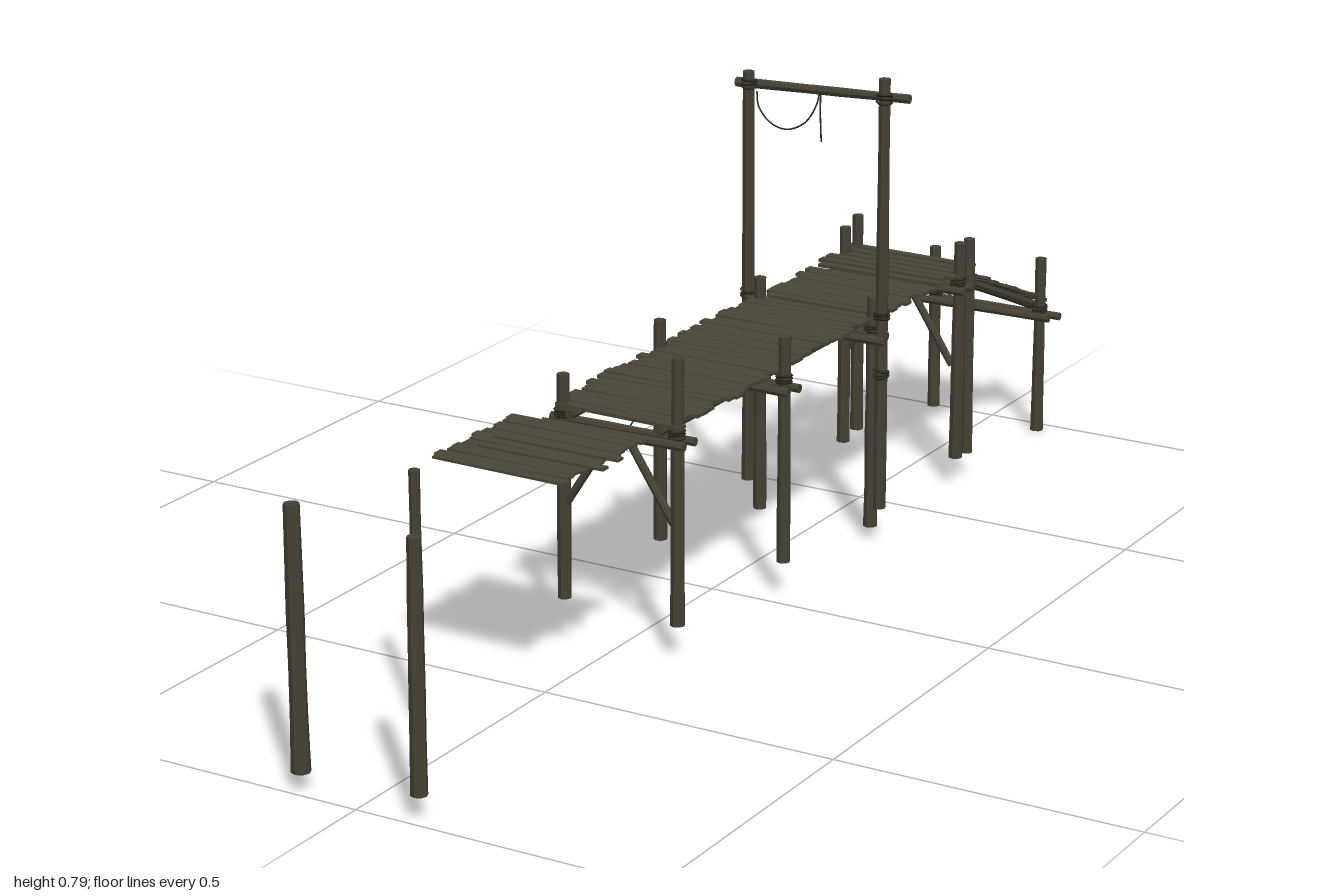
import * as THREE from 'three';

const wood = (name, color) => {
  const m = new THREE.MeshStandardMaterial({ color, flatShading: true });
  m.name = name;
  return m;
};

export function createModel() {
  const plankWood = wood('plankWood', 0x4a4538);
  const postWood = wood('postWood', 0x464134);
  const ropeFibre = wood('ropeFibre', 0x2c281e);
  const model = new THREE.Group();
  model.name = 'brokenPier';
  const V = (x, y, z) => new THREE.Vector3(x, y, z);

  let seed = 7;
  const rnd = () => {
    seed = (seed * 16807) % 2147483647;
    return seed / 2147483647;
  };
  const jit = (a) => (rnd() - 0.5) * 2 * a;

  const add = (name, geo, mat) => {
    const m = new THREE.Mesh(geo, mat);
    m.name = name;
    model.add(m);
    return m;
  };

  // Rough round log between two points, slightly uneven along its length
  const log = (name, a, b, r0, r1 = r0) => {
    const len = a.distanceTo(b);
    const rows = 5;
    const g = new THREE.CylinderGeometry(r1, r0, len, 8, rows);
    const p = g.attributes.position;
    const scale = Array.from({ length: rows + 1 }, () => 1 + jit(0.07));
    for (let i = 0; i < p.count; i++) {
      const s = scale[Math.round((p.getY(i) / len + 0.5) * rows)];
      p.setX(i, p.getX(i) * s);
      p.setZ(i, p.getZ(i) * s);
    }
    g.computeVertexNormals();
    const m = add(name, g, postWood);
    m.position.copy(a).add(b).multiplyScalar(0.5);
    m.quaternion.setFromUnitVectors(V(0, 1, 0), b.clone().sub(a).normalize());
    return m;
  };

  const post = (x, z, y0, y1, r = 0.011) =>
    log('post', V(x, y0, z), V(x + jit(0.002), y1, z), r * 1.05, r * 0.92);

  // Rope wound around a post
  const lashing = (x, y, z, r = 0.0125) => {
    for (let i = 0; i < 3; i++) {
      const t = add('lashing', new THREE.TorusGeometry(r, 0.0022, 4, 10), ropeFibre);
      t.rotation.set(Math.PI / 2 + jit(0.2), jit(0.15), 0);
      t.position.set(x, y + (i - 1) * 0.005, z);
    }
  };

  const rope = (name, pts, r = 0.0014) =>
    add(name, new THREE.TubeGeometry(new THREE.CatmullRomCurve3(pts), 24, r, 5), ropeFibre);

  // Pair of cross logs clamping the posts of one support frame
  const crossBeams = (z, y, half = 0.13) => {
    for (const s of [-1, 1]) {
      log('crossBeam', V(-half + jit(0.008), y + jit(0.003), z + s * 0.015),
        V(half + jit(0.008), y + jit(0.003), z + s * 0.015), 0.0075);
    }
  };

  // Diagonal braces forming an inverted V under the deck
  const braces = (z) => {
    for (const s of [-1, 1]) log('brace', V(s * 0.015, 0.345, z), V(s * 0.1, 0.215, z), 0.0065);
  };

  // Free-standing front posts
  post(-0.105, 0.985, 0.03, 0.44, 0.0135);
  post(0.1, 0.985, 0.04, 0.43, 0.012);
  post(-0.1, 0.69, 0.04, 0.4, 0.009);

  // Support frames: z, [left bottom, left top], [right bottom, right top], x, beam height
  const frames = [
    [0.28, 0.06, 0.43, 0.055, 0.49, 0.103, 0.352],
    [-0.03, 0.055, 0.43, 0.06, 0.44, 0.115, 0.354],
    [-0.34, 0.012, 0.42, 0.02, 0.42, 0.106, 0.352],
    [-0.64, 0.04, 0.43, 0.05, 0.435, 0.11, 0.352],
    [-0.685, 0.05, 0.44, 0.045, 0.43, 0.108, 0],
    [-0.97, 0.01, 0.31, 0, 0.32, 0.104, 0.213],
  ];
  for (const [z, l0, l1, r0, r1, x, beam] of frames) {
    post(-x, z, l0, l1);
    post(x, z, r0, r1);
    if (!beam) continue;
    crossBeams(z, beam);
    lashing(-x, beam + 0.015, z);
    lashing(x, beam + 0.015, z);
  }
  braces(0.28);
  braces(-0.64);

  // Tall gateway with its top pole
  post(-0.129, -0.34, 0.06, 0.77, 0.0105);
  post(0.123, -0.34, 0.055, 0.79, 0.0105);
  log('gatePole', V(-0.162, 0.744, -0.357), V(0.16, 0.757, -0.357), 0.0085, 0.0075);
  for (const [x, y] of [[-0.129, 0.75], [0.123, 0.757], [-0.129, 0.39], [0.123, 0.39], [-0.129, 0.29], [0.123, 0.29]]) {
    lashing(x, y, -0.34);
  }
  rope('gateRope', [V(-0.12, 0.735, -0.35), V(-0.118, 0.71, -0.352), V(-0.1, 0.684, -0.357),
    V(-0.07, 0.675, -0.358), V(-0.035, 0.69, -0.358), V(-0.015, 0.72, -0.36), V(-0.008, 0.752, -0.364)]);
  rope('gateRopeEnd', [V(-0.009, 0.752, -0.366), V(-0.01, 0.71, -0.367), V(-0.008, 0.66, -0.367)]);

  // Slack rope slung between two side posts
  const sag = [];
  for (let i = 0; i <= 8; i++) {
    const t = i / 4 - 1;
    sag.push(V(-0.112, 0.268 + 0.08 * t * t, 0.122 + 0.148 * t));
  }
  rope('sideRope', sag);

  // Stringers under the deck and the ramp
  for (const x of [-0.083, 0.077]) {
    log('deckStringer', V(x, 0.37, 0.292), V(x, 0.37, -0.2), 0.0085);
    log('deckStringer', V(x, 0.37, -0.2), V(x, 0.37, -0.69), 0.0085);
    log('rampStringer', V(x, 0.358, -0.68), V(x, 0.226, -0.99), 0.0085);
  }

  // Rows of uneven planks from z0 to z1, with height given by yAt(z)
  const planks = (name, z0, z1, step, fill, yAt, slope = 0, thick = 0.0055, xl = -0.118, xr = 0.108) => {
    const n = Math.round((z0 - z1) / step);
    const d = (z0 - z1) / n;
    for (let i = 0; i < n; i++) {
      const z = z0 - (i + 0.5) * d;
      const a = xl + jit(0.009);
      const b = xr + jit(0.009);
      const w = (d * (fill + jit(0.06))) / Math.cos(slope);
      const p = add(name, new THREE.BoxGeometry(b - a, thick, w), plankWood);
      p.position.set((a + b) / 2, yAt(z) + jit(0.001), z);
      p.rotation.set(-slope, jit(0.018), jit(0.006), 'YXZ');
    }
  };
  const level = () => 0.382;
  planks('deckPlank', 0.292, -0.14, 0.0185, 0.93, level);
  planks('deckPlank', -0.14, -0.345, 0.0185, 0.93, level, 0, 0.0055, -0.122, 0.106);
  planks('deckPlank', -0.36, -0.54, 0.018, 0.95, level, 0, 0.0055, -0.115, 0.112);
  planks('loosePlank', -0.555, -0.695, 0.0235, 0.72, level, 0, 0.0055, -0.122, 0.11);

  // Sloping ramp at the back
  const slope = Math.atan2(0.132, 0.31);
  planks('rampPlank', -0.695, -0.995, 0.0185, 0.96, (z) => 0.366 + (z + 0.69) * 0.426, slope, 0.0055, -0.115, 0.108);

  // Detached front deck section
  planks('frontPlank', 0.6, 0.375, 0.0188, 0.93, () => 0.386, 0, 0.004, -0.13, 0.1);
  for (const [z, x] of [[0.475, 0.012], [0.52, 0.014]]) {
    const p = add('stickingOutPlank', new THREE.BoxGeometry(0.22, 0.004, 0.016), plankWood);
    p.position.set(x, 0.389, z);
    p.rotation.y = 0.01;
  }
  return model;
}
